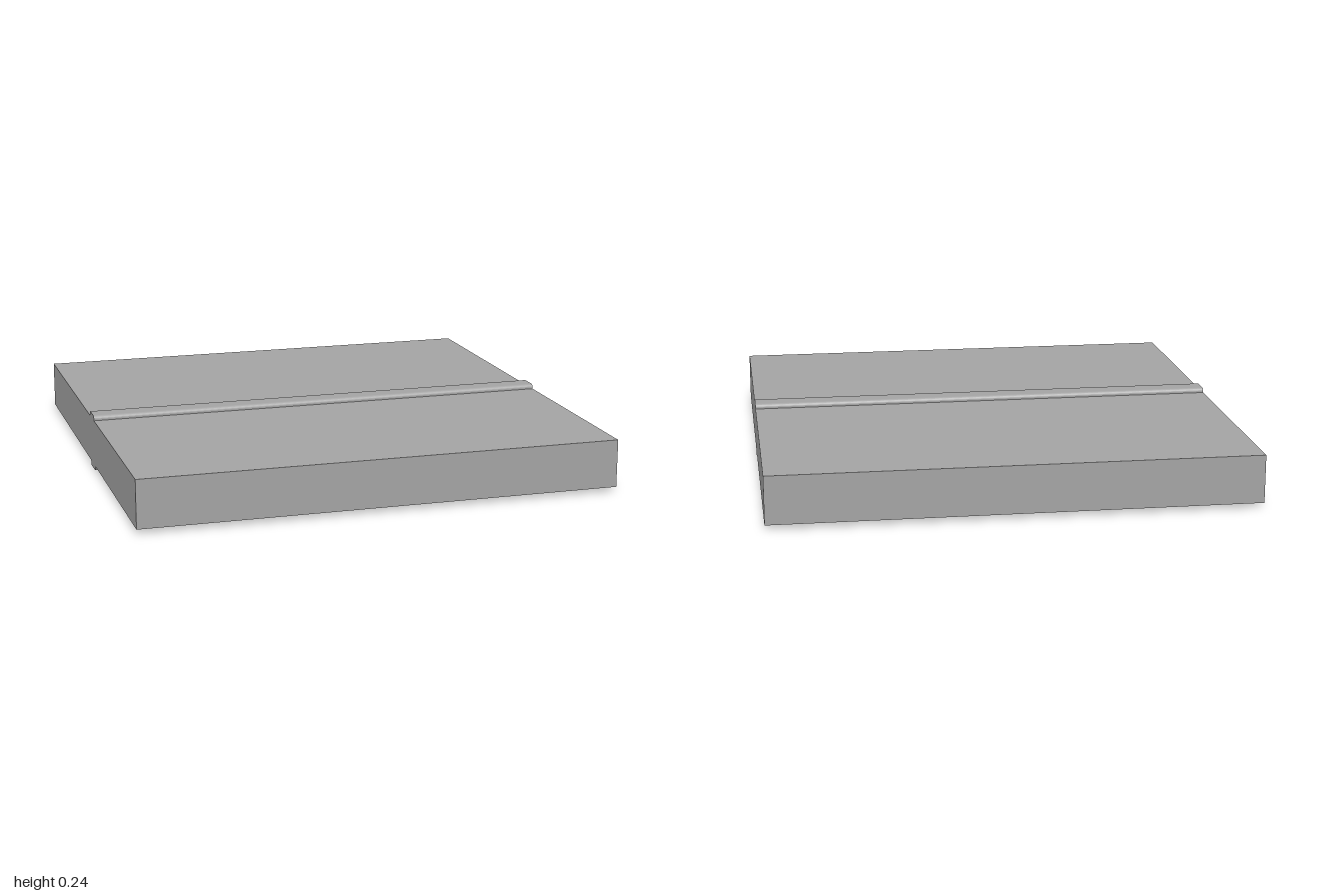
import * as THREE from 'three';

const LENGTH = 2, SLAB_BOTTOM = 0.02, SLAB_TOP = 0.22;
const RIB_WIDTH = 0.1, RIB_HEIGHT = 0.02, RIB_RADIUS = 0.015, RIB_Z = 0.05;

// Low strip with rounded upper corners, running along x and standing on y = 0
function ribGeometry() {
  const w = RIB_WIDTH / 2, h = RIB_HEIGHT, r = RIB_RADIUS;
  const profile = new THREE.Shape();
  profile.moveTo(-w, 0);
  profile.lineTo(w, 0);
  profile.lineTo(w, h - r);
  profile.absarc(w - r, h - r, r, 0, Math.PI / 2, false);
  profile.lineTo(-w + r, h);
  profile.absarc(-w + r, h - r, r, Math.PI / 2, Math.PI, false);
  profile.closePath();
  const geometry = new THREE.ExtrudeGeometry(profile, { depth: LENGTH, bevelEnabled: false, curveSegments: 6 });
  return geometry.translate(0, 0, -LENGTH / 2).rotateY(Math.PI / 2);
}

export function createModel() {
  const group = new THREE.Group();
  const material = new THREE.MeshStandardMaterial({ color: 0xa4a4a4 });

  // Square slab
  const slab = new THREE.Mesh(new THREE.BoxGeometry(LENGTH, SLAB_TOP - SLAB_BOTTOM, LENGTH), material);
  slab.name = 'slab';
  slab.position.y = (SLAB_TOP + SLAB_BOTTOM) / 2;
  group.add(slab);

  // Matching ribs on the upper and lower faces
  const geometry = ribGeometry();
  const topRib = new THREE.Mesh(geometry, material);
  topRib.name = 'topRib';
  topRib.position.set(0, SLAB_TOP, RIB_Z);
  const bottomRib = new THREE.Mesh(geometry, material);
  bottomRib.name = 'bottomRib';
  bottomRib.position.set(0, SLAB_BOTTOM, RIB_Z);
  bottomRib.rotation.x = Math.PI;
  group.add(topRib, bottomRib);

  return group;
}
